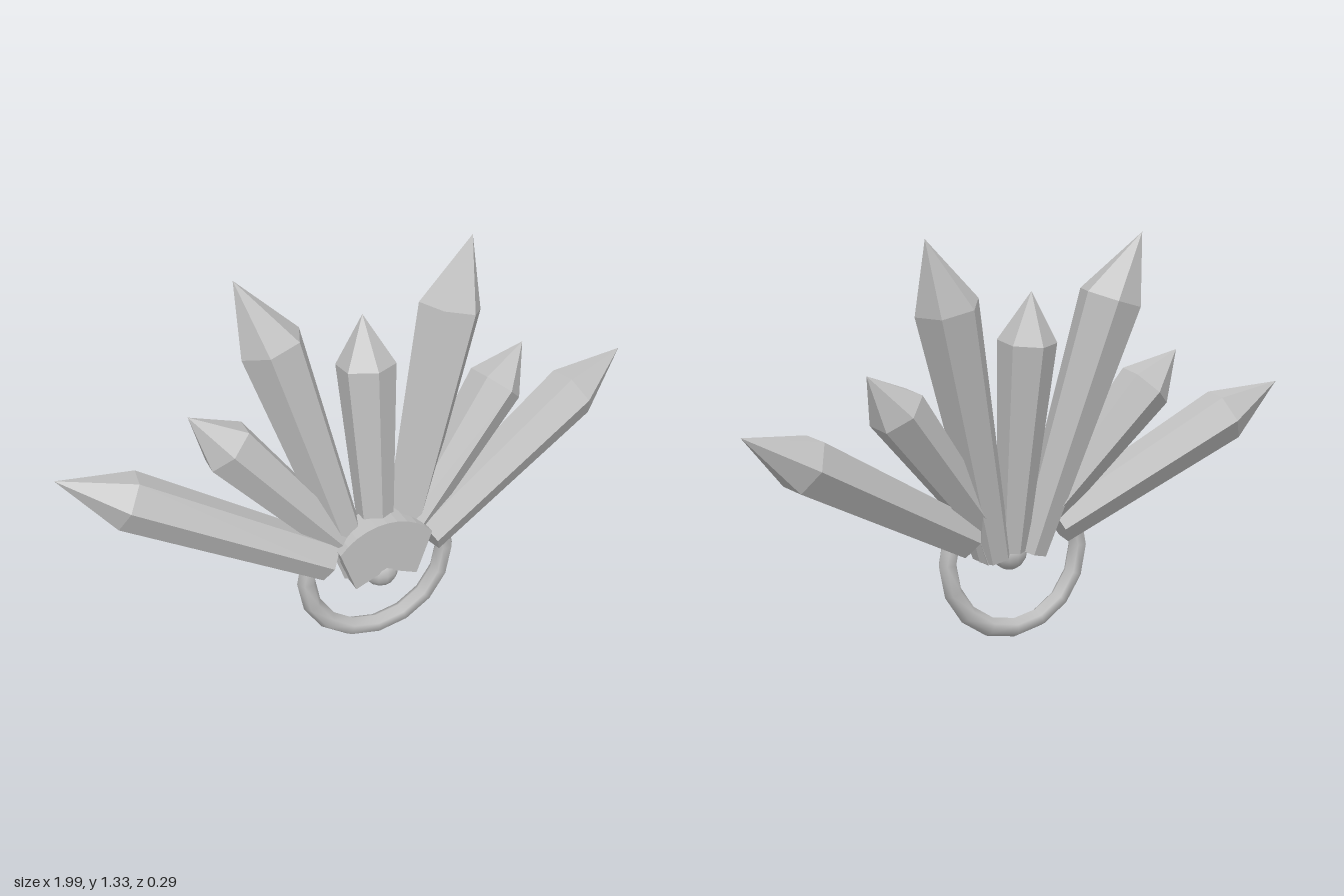
import * as THREE from 'three';

const V = (a) => new THREE.Vector3(...a);

// Tapered six-sided prism closed by a flat base and a pointed tip
function crystalGeometry(base, shoulder, tip, rBase, rShoulder, twist = 0) {
  const b = V(base), s = V(shoulder), t = V(tip);
  const axis = s.clone().sub(b).normalize();
  const u = new THREE.Vector3(0, 0, 1);
  u.addScaledVector(axis, -u.dot(axis)).normalize();
  const v = axis.clone().cross(u);
  const ring = (c, r) => Array.from({ length: 6 }, (_, i) => {
    const a = twist + i * Math.PI / 3;
    return c.clone().addScaledVector(u, r * Math.cos(a)).addScaledVector(v, r * Math.sin(a));
  });
  const lo = ring(b, rBase), hi = ring(s, rShoulder);
  const points = [];
  for (let i = 0; i < 6; i++) {
    const j = (i + 1) % 6;
    points.push(lo[i], lo[j], hi[j], lo[i], hi[j], hi[i]);
    points.push(hi[i], hi[j], t, lo[j], lo[i], b);
  }
  const g = new THREE.BufferGeometry().setFromPoints(points);
  g.computeVertexNormals();
  return g;
}

export function createModel() {
  const model = new THREE.Group();
  const grey = new THREE.MeshStandardMaterial({ color: 0xc0c0c0 });
  grey.name = 'silverGrey';

  const add = (name, geometry) => {
    const mesh = new THREE.Mesh(geometry, grey);
    mesh.name = name;
    model.add(mesh);
    return mesh;
  };

  // Centre crystal
  add('centreCrystal', crystalGeometry([0, 0.3, 0.065], [0, 1.0, -0.025], [0, 1.16, -0.05], 0.05, 0.096));

  // Mirrored crystals fanning out on both sides
  const fan = [
    ['TallCrystal', [0.07, 0.285, 0.06], [0.305, 1.125, -0.05], [0.4, 1.335, -0.09], 0.055, 0.106, 0.35],
    ['MiddleCrystal', [0.08, 0.36, 0.065], [0.47, 0.82, -0.025], [0.58, 0.937, -0.05], 0.055, 0.094, 0],
    ['OuterCrystal', [0.175, 0.365, 0.065], [0.79, 0.695, -0.055], [0.995, 0.8, -0.09], 0.073, 0.095, 0],
    ['SmallCrystal', [0.09, 0.36, 0.05], [0.18, 0.65, 0.0], [0.195, 0.69, -0.01], 0.03, 0.048, 0.3],
  ];
  for (const side of [1, -1]) {
    const mirror = ([x, y, z]) => [x * side, y, z];
    for (const [name, base, shoulder, tip, rb, rs, twist] of fan) {
      add((side > 0 ? 'left' : 'right') + name,
        crystalGeometry(mirror(base), mirror(shoulder), mirror(tip), rb, rs, twist * side));
    }
  }

  // Fan-shaped clasp holding the crystal roots
  const clasp = new THREE.Shape();
  clasp.moveTo(0.03, 0.3);
  clasp.lineTo(0.11, 0.267);
  for (let i = 0; i <= 10; i++) {
    const a = THREE.MathUtils.degToRad(40 + i * 10);
    clasp.lineTo(0.215 * Math.cos(a), 0.275 + 0.22 * Math.sin(a));
  }
  clasp.lineTo(-0.11, 0.267);
  clasp.lineTo(-0.03, 0.3);
  const claspGeometry = new THREE.ExtrudeGeometry(clasp, { depth: 0.1, bevelEnabled: false });
  add('clasp', claspGeometry).position.z = 0.035;

  // Round bead under the clasp
  add('bead', new THREE.SphereGeometry(0.06, 12, 8)).position.set(0, 0.287, 0.085);

  // Open hanging ring
  const ring = add('ring', new THREE.TorusGeometry(0.253, 0.032, 6, 10, Math.PI * 1.25));
  ring.position.set(0, 0.287, 0.053);
  ring.rotation.z = Math.PI * 0.875;

  return model;
}
